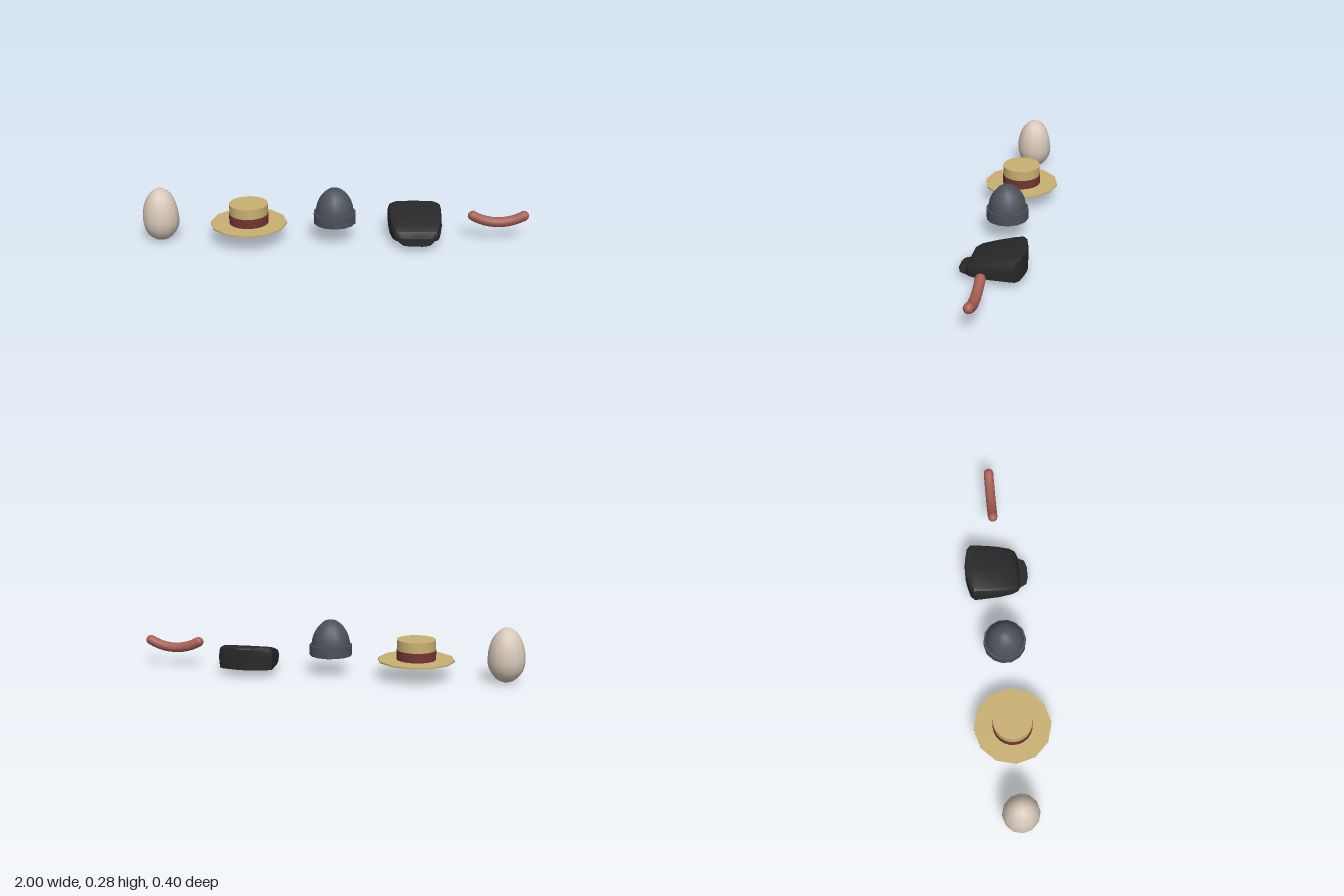
import * as THREE from 'three';
import { toCreasedNormals } from 'three/addons/utils/BufferGeometryUtils.js';

const material = (name, color, side = THREE.FrontSide) => {
  const m = new THREE.MeshStandardMaterial({ color, side });
  m.name = name;
  return m;
};

const mesh = (name, geometry, mat) => {
  const m = new THREE.Mesh(geometry, mat);
  m.name = name;
  return m;
};

// Turned part from [radius, height] pairs
const turned = (name, profile, sides, mat, crease = 0.7) => {
  const points = profile.map(([r, y]) => new THREE.Vector2(r, y));
  return mesh(name, toCreasedNormals(new THREE.LatheGeometry(points, sides), crease), mat);
};

const group = (name, x, ...parts) => {
  const g = new THREE.Group();
  g.name = name;
  g.position.x = x;
  g.add(...parts);
  return g;
};

// Cap shell lofted from front to back; each section is [z, half width, top]
function capShell() {
  const base = 0.037;
  const sections = [
    [0.117, 0, 0.052], [0.115, 0.085, 0.055], [0.1, 0.112, 0.085], [0.07, 0.125, 0.103],
    [0, 0.137, 0.123], [-0.1, 0.142, 0.149], [-0.135, 0.142, 0.154],
    [-0.155, 0.118, 0.153], [-0.168, 0.06, 0.15], [-0.174, 0.02, 0.143], [-0.174, 0, 0.143],
  ];
  const half = [[0.97, 0], [1, 0.45], [0.98, 0.75], [0.93, 0.92], [0.82, 1]];
  const outline = [...half, [0, 1.01], ...half.map(([u, v]) => [-u, v]).reverse()];
  const n = outline.length;
  const positions = [];
  const index = [];
  sections.forEach(([z, w, top], i) => {
    outline.forEach(([u, v], j) => {
      positions.push(u * w, base + v * (top - base), z);
      if (i === sections.length - 1 || j === n - 1) return;
      const a = i * n + j;
      index.push(a, a + n, a + 1, a + 1, a + n, a + n + 1);
    });
  });
  const g = new THREE.BufferGeometry();
  g.setAttribute('position', new THREE.Float32BufferAttribute(positions, 3));
  g.setIndex(index);
  return toCreasedNormals(g, 0.55);
}

// Thin visor plate, lying flat
function visorPlate() {
  const s = new THREE.Shape();
  s.moveTo(-0.1, -0.07);
  s.lineTo(-0.085, -0.115);
  s.lineTo(-0.067, -0.148);
  s.lineTo(-0.03, -0.16);
  s.lineTo(0.03, -0.16);
  s.lineTo(0.067, -0.148);
  s.lineTo(0.085, -0.115);
  s.lineTo(0.1, -0.07);
  s.closePath();
  const g = new THREE.ExtrudeGeometry(s, { depth: 0.007, bevelEnabled: false });
  return g.rotateX(-Math.PI / 2).translate(0, 0.029, 0);
}

// Capsule bent upward along a circular arc
function bentCapsule() {
  const R = 0.259;
  const g = new THREE.CapsuleGeometry(0.026, 0.276, 5, 12, 12).rotateZ(-Math.PI / 2);
  const p = g.attributes.position;
  for (let i = 0; i < p.count; i++) {
    const a = p.getX(i) / R;
    const r = R - p.getY(i);
    p.setXY(i, r * Math.sin(a), R - r * Math.cos(a));
  }
  g.computeVertexNormals();
  return g.translate(0, 0.099, 0);
}

export function createModel() {
  const shell = material('eggshell', 0xd6c7b8);
  const straw = material('straw', 0xc9b172, THREE.DoubleSide);
  const ribbon = material('dark red ribbon', 0x743434);
  const wool = material('slate wool', 0x4b515b, THREE.DoubleSide);
  const cloth = material('black cloth', 0x282828, THREE.DoubleSide);
  const sausageSkin = material('sausage skin', 0xa65f54);

  const model = new THREE.Group();
  model.name = 'eggAndHats';

  // Egg: wide below, narrowing to the top
  const eggProfile = [];
  for (let i = 0; i <= 14; i++) {
    const t = (i / 14) * Math.PI;
    const c = Math.cos(t);
    const y = c > 0 ? 0.115 - 0.115 * c : 0.115 - 0.165 * c;
    eggProfile.push([0.095 * Math.sin(t), y]);
  }
  model.add(group('egg', -0.905, turned('eggBody', eggProfile, 12, shell, 1.2)));

  // Straw hat: flat brim, open crown and ribbon
  model.add(group('strawHat', -0.45,
    turned('strawBrim', [[0.1, 0.09], [0.198, 0.09], [0.198, 0.098], [0.1, 0.098]], 12, straw),
    turned('strawCrown', [[0.1, 0.09], [0.1, 0.2], [0, 0.2]], 24, straw),
    turned('hatRibbon', [[0.1, 0.098], [0.102, 0.098], [0.102, 0.147], [0.1, 0.147]], 24, ribbon)));

  // Knitted cap: hollow dome with a turned-up cuff
  model.add(group('beanie', -0.006,
    turned('beanieDome', [[0.1, 0.1], [0.1, 0.155], [0.097, 0.178], [0.09, 0.203], [0.08, 0.225],
      [0.066, 0.247], [0.05, 0.264], [0.03, 0.278], [0, 0.279]], 14, wool),
    turned('beanieCuff', [[0.1, 0.1], [0.11, 0.1], [0.11, 0.155], [0.1, 0.155]], 14, wool)));

  // Flat cap: sloping hollow shell and short visor
  model.add(group('flatCap', 0.413,
    mesh('capCrown', capShell(), cloth),
    mesh('capVisor', visorPlate(), cloth)));

  // Sausage
  model.add(group('sausage', 0.84, mesh('sausageBody', bentCapsule(), sausageSkin)));

  return model;
}
